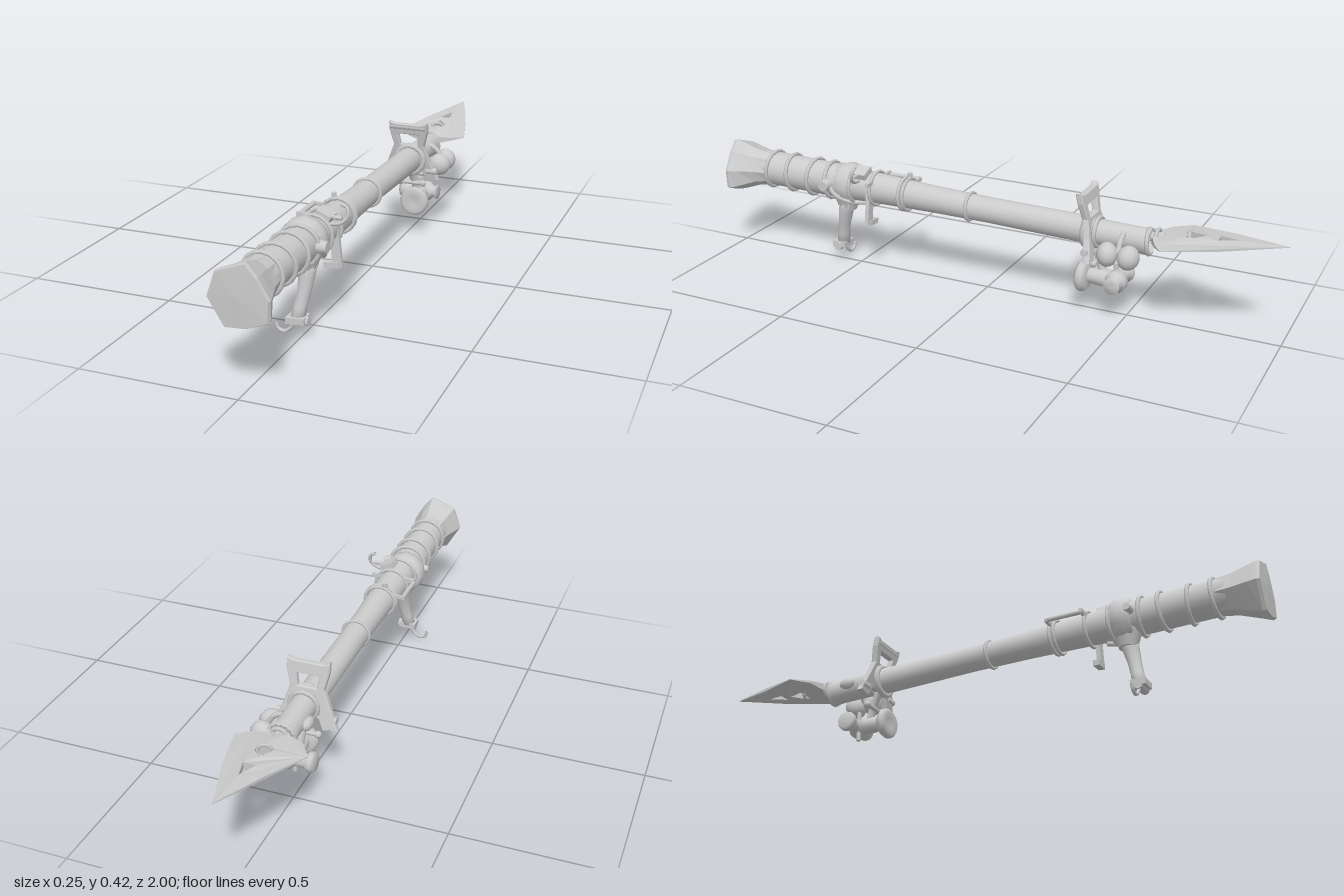
import * as THREE from 'three';

const V = (x, y, z) => new THREE.Vector3(x, y, z);
const axisY = z => 0.285 + 0.022 * z; // the barrel rises slightly toward the butt

export function createModel() {
  const model = new THREE.Group();
  const smooth = new THREE.MeshStandardMaterial({ color: 0xcccccc, side: THREE.DoubleSide });
  const flat = smooth.clone();
  flat.flatShading = true;

  const add = (name, geo, pos = [0, 0, 0], rot = [0, 0, 0], mat = smooth) => {
    const m = new THREE.Mesh(geo, mat);
    m.name = name;
    m.position.set(...pos);
    m.rotation.set(...rot);
    model.add(m);
    return m;
  };
  // surface of revolution along z from [radius, z] pairs
  const lathe = (pts, n = 16) =>
    new THREE.LatheGeometry(pts.map(p => new THREE.Vector2(...p)), n).rotateX(Math.PI / 2);
  const tube = (pts, r, n = 16) =>
    new THREE.TubeGeometry(new THREE.CatmullRomCurve3(pts.map(p => V(...p))), n, r, 7);
  // skin over equal-length cross-sections, closed with domed fans
  const loft = (secs, startTip, endTip) => {
    const n = secs[0].length, pos = [], idx = [];
    secs.flat().forEach(p => pos.push(p.x, p.y, p.z));
    const s = secs.length * n, last = s - n;
    pos.push(...startTip, ...endTip);
    for (let j = 0; j < n; j++) {
      const k = (j + 1) % n;
      for (let i = 0; i < last; i += n) idx.push(i + j, i + k, i + n + k, i + j, i + n + k, i + n + j);
      idx.push(s, k, j, s + 1, last + j, last + k);
    }
    const g = new THREE.BufferGeometry();
    g.setAttribute('position', new THREE.Float32BufferAttribute(pos, 3));
    g.setIndex(idx);
    g.computeVertexNormals();
    return g;
  };
  // ring around the barrel
  const band = (name, z, r, t = 0.007, tilt = 0) =>
    add(name, new THREE.TorusGeometry(r, t, 6, 16), [0.004, axisY(z), z], [tilt, tilt, 0]);

  // barrel with a hollow muzzle
  const barrel = lathe([[0.001, -0.48], [0.03, -0.48], [0.036, -0.575], [0.045, -0.57], [0.041, -0.53],
    [0.042, -0.4], [0.045, -0.37], [0.043, 0], [0.046, 0.2], [0.05, 0.33], [0.055, 0.48], [0.059, 0.6], [0.06, 0.88]]);
  const bp = barrel.attributes.position;
  for (let i = 0; i < bp.count; i++) bp.setY(i, bp.getY(i) + axisY(bp.getZ(i)));
  barrel.computeVertexNormals();
  add('barrel', barrel, [0.003, 0, 0]);

  // irregular flared butt
  const rim = [[0.1, 0.3], [0.064, 0.362], [0.032, 0.4], [-0.058, 0.366], [-0.085, 0.29], [-0.035, 0.205], [0.03, 0.21], [0.098, 0.235]];
  const butt = [[0.85, 0], [0.9, 0.22], [0.955, 0.75], [0.985, 1], [0.996, 0.9]].map(([z, t]) => rim.map(([x, y]) => {
    const c = V(0.003, 0.304, z), p = V(x, y, z);
    const round = p.clone().sub(c).setLength(0.061).add(c);
    return round.lerp(p, t);
  }));
  add('butt', loft(butt, [0.003, 0.304, 0.85], [0.003, 0.304, 1]), [0, 0, 0], [0, 0, 0], flat);

  // binding rings
  [0.84, 0.76, 0.67, 0.6].forEach((z, i) => band('gripRing', z, 0.064, 0.007, i % 2 ? 0.04 : -0.04));
  [[0.5, 0.063], [0.42, 0.059], [0.31, 0.056], [0.295, 0.055], [0.06, 0.047]].forEach(([z, r]) => band('barrelRing', z, r, 0.006));
  band('sightRing', -0.36, 0.05, 0.011);
  band('sightRing', -0.395, 0.047, 0.008);
  band('muzzleRing', -0.565, 0.041, 0.007, 0.08);

  // saddle clamping the handle to the barrel
  add('saddle', lathe([[0.058, 0.51], [0.07, 0.515], [0.074, 0.54], [0.068, 0.57], [0.058, 0.575]], 12), [-0.006, axisY(0.54) - 0.004, 0]);
  add('saddleNeck', new THREE.CylinderGeometry(0.05, 0.03, 0.06, 10), [0, 0.228, 0.545]);

  // bent handle: y, centre x, centre z, half width, half depth
  const grip = [[0.24, 0.005, 0.54, 0.034, 0.036], [0.19, 0.006, 0.552, 0.027, 0.027], [0.14, 0.002, 0.563, 0.022, 0.022],
    [0.095, -0.008, 0.573, 0.022, 0.021], [0.06, -0.013, 0.58, 0.025, 0.024]].map(([y, x, z, w, d]) =>
    Array.from({ length: 10 }, (_, i) => V(x + w * Math.cos(i * Math.PI / 5), y, z + d * Math.sin(i * Math.PI / 5))));
  add('handle', loft(grip, [0.005, 0.24, 0.54], [-0.013, 0.06, 0.58]));
  add('handleFoot', new THREE.CylinderGeometry(0.016, 0.016, 0.066, 8), [-0.009, 0.052, 0.583], [0, 0, Math.PI / 2 + 0.05], flat);
  add('handleFootPlate', new THREE.BoxGeometry(0.06, 0.02, 0.05), [-0.013, 0.058, 0.583], [0, 0, 0.05], flat);

  // hooks: one below the handle, one above the barrel
  add('handleHook', tube([[-0.025, 0.045, 0.582], [-0.038, 0.022, 0.58], [-0.06, 0.008, 0.58], [-0.08, 0.016, 0.58], [-0.086, 0.033, 0.58]], 0.006));
  add('topHook', tube([[0.045, 0.325, 0.47], [0.08, 0.332, 0.47], [0.1, 0.352, 0.465], [0.098, 0.378, 0.46], [0.08, 0.388, 0.46]], 0.006));

  // latch parts around the saddle
  add('latchBlock', new THREE.BoxGeometry(0.05, 0.022, 0.05), [0.03, 0.352, 0.465], [0, 0, -0.4], flat);
  add('latchPin', new THREE.CylinderGeometry(0.007, 0.007, 0.08, 8), [0.045, 0.348, 0.47], [0, 0, Math.PI / 2]);
  add('sideKnob', new THREE.CylinderGeometry(0.018, 0.022, 0.03, 10), [0.075, 0.3, 0.59], [0, 0, -Math.PI / 2]);
  add('sideKnob', new THREE.CylinderGeometry(0.012, 0.016, 0.03, 10), [-0.07, 0.3, 0.575], [0, 0, Math.PI / 2]);
  add('saddleStrap', tube([[0.06, 0.32, 0.59], [0.065, 0.27, 0.56], [0.04, 0.24, 0.51], [0.01, 0.235, 0.47]], 0.008));
  add('bracketPlate', new THREE.BoxGeometry(0.03, 0.12, 0.014), [0.048, 0.235, 0.43], [0, 0, 0.1], flat);
  add('bracketFoot', new THREE.BoxGeometry(0.05, 0.018, 0.022), [0.035, 0.18, 0.43], [0, 0, 0.1], flat);
  add('bracketBar', new THREE.BoxGeometry(0.16, 0.014, 0.012), [-0.003, 0.325, 0.42], [0, 0, 0], flat);
  add('bracketBar', new THREE.BoxGeometry(0.11, 0.012, 0.01), [-0.03, 0.318, 0.3], [0, 0, 0], flat);
  add('sideRod', new THREE.CylinderGeometry(0.008, 0.008, 0.12, 8), [-0.079, 0.32, 0.36], [Math.PI / 2, 0, 0]);
  add('topPeg', new THREE.CylinderGeometry(0.009, 0.009, 0.035, 8), [-0.012, 0.345, 0.3]);

  // hourglass sight frame with a window, sheared forward toward the top
  const frame = new THREE.Shape([[-0.067, 0.415], [-0.05, 0.408], [0.05, 0.408], [0.07, 0.415], [0.068, 0.385], [0.053, 0.33],
    [0.072, 0.27], [0.1, 0.205], [0.06, 0.2], [0.045, 0.24], [-0.045, 0.24], [-0.06, 0.205], [-0.103, 0.212],
    [-0.078, 0.27], [-0.053, 0.33], [-0.066, 0.385]].map(p => new THREE.Vector2(...p)));
  frame.holes.push(new THREE.Path([[-0.042, 0.375], [-0.034, 0.33], [0.034, 0.33], [0.042, 0.375]].map(p => new THREE.Vector2(...p))));
  const frameGeo = new THREE.ExtrudeGeometry(frame, { depth: 0.014, bevelThickness: 0.004, bevelSize: 0.003, bevelSegments: 1 });
  const fp = frameGeo.attributes.position;
  for (let i = 0; i < fp.count; i++) fp.setZ(i, fp.getZ(i) - 0.36 + (fp.getY(i) - 0.4) * 0.2);
  frameGeo.computeVertexNormals();
  add('sightFrame', frameGeo, [0, 0, 0], [0, 0, 0], flat);
  add('sightTopBar', new THREE.CylinderGeometry(0.012, 0.012, 0.13, 8), [0, 0.4, -0.352], [0, 0, Math.PI / 2]);
  for (const s of [-1, 1])
    add('frameBolt', new THREE.CylinderGeometry(0.012, 0.012, 0.04, 8), [s * 0.08, 0.235, -0.382], [0, 0, Math.PI / 2]);

  // pair of pouches and a small lug opposite
  for (const [z, t] of [[-0.455, 0.3], [-0.525, -0.3]])
    add('pouch', new THREE.SphereGeometry(0.036, 12, 9).scale(1.1, 1.1, 0.95), [0.085, 0.24, z], [0, t, 0.3]);
  add('pouchCord', tube([[0.03, 0.3, -0.49], [0.06, 0.285, -0.49], [0.085, 0.25, -0.49]], 0.009));
  add('sideLug', new THREE.SphereGeometry(0.02, 8, 6).scale(0.8, 1, 1.6), [-0.046, 0.275, -0.48]);

  // hanging flask: strap, disc, body and flared cross-piece
  add('flaskStrap', tube([[0, 0.24, -0.375], [0.005, 0.205, -0.395], [0.01, 0.17, -0.41], [0.012, 0.13, -0.42]], 0.014));
  for (const s of [-1, 1])
    add('strapBolt', new THREE.SphereGeometry(0.012, 8, 6), [s * 0.042, 0.18, -0.395]);
  add('strapBar', new THREE.CylinderGeometry(0.008, 0.008, 0.09, 8), [0, 0.18, -0.395], [0, 0, Math.PI / 2]);
  add('flaskDisc', lathe([[0.001, -0.375], [0.04, -0.375], [0.052, -0.362], [0.052, -0.348], [0.042, -0.338], [0.02, -0.344], [0.001, -0.344]]), [0.025, 0.125, 0]);
  add('flaskBody', lathe([[0.001, -0.46], [0.026, -0.46], [0.03, -0.43], [0.024, -0.37]], 12), [0.02, 0.128, 0]);
  const cross = lathe([[0.001, -0.065], [0.028, -0.065], [0.034, -0.055], [0.034, -0.042], [0.024, -0.034], [0.022, 0],
    [0.036, 0.018], [0.036, 0.045], [0.02, 0.06], [0.028, 0.077], [0.001, 0.072]], 12).rotateY(Math.PI / 2);
  add('flaskCrossPiece', cross, [0, 0.128, -0.47]);
  add('flaskPin', new THREE.CylinderGeometry(0.008, 0.008, 0.105, 8), [0.01, 0.128, -0.46]);

  // blade: thick in the middle, sharp along its edges, rising to the tip
  const blade = new THREE.Shape([[0.01, 1], [-0.06, 0.825], [-0.125, 0.67], [-0.085, 0.61], [-0.03, 0.59], [0.03, 0.58],
    [0.08, 0.605], [0.122, 0.635], [0.075, 0.81]].map(p => new THREE.Vector2(...p)));
  for (const h of [[[0.005, 0.85], [-0.018, 0.785], [0.022, 0.785]], [[-0.008, 0.745], [-0.032, 0.69], [0.022, 0.685], [0.02, 0.715]]])
    blade.holes.push(new THREE.Path(h.map(p => new THREE.Vector2(...p))));
  const bladeGeo = new THREE.ExtrudeGeometry(blade, { depth: 1, bevelEnabled: false });
  const q = bladeGeo.attributes.position;
  for (let i = 0; i < q.count; i++) {
    const x = q.getX(i), l = q.getY(i), side = q.getZ(i) - 0.5;
    const thick = 0.002 + 0.032 * Math.max(0, 1 - Math.abs(x) / 0.11) * Math.min(1, (1 - l) / 0.3);
    q.setXYZ(i, x, 0.29 + (l - 0.58) * 0.107 + side * thick, -l);
  }
  bladeGeo.computeVertexNormals();
  add('blade', bladeGeo, [0, 0, 0], [0, 0, 0], flat);
  add('bladeTang', new THREE.CylinderGeometry(0.014, 0.02, 0.15, 8), [0.002, 0.288, -0.54], [-Math.PI / 2 + 0.1, 0, 0]);
  // cord lashed through the blade's holes
  add('bladeLashing', new THREE.TorusGeometry(0.022, 0.006, 6, 12), [0, 0.303, -0.69], [0, 0.3, 0]);
  add('bladeLashing', new THREE.TorusGeometry(0.026, 0.007, 6, 12), [0, 0.29, -0.59]);

  return model;
}
